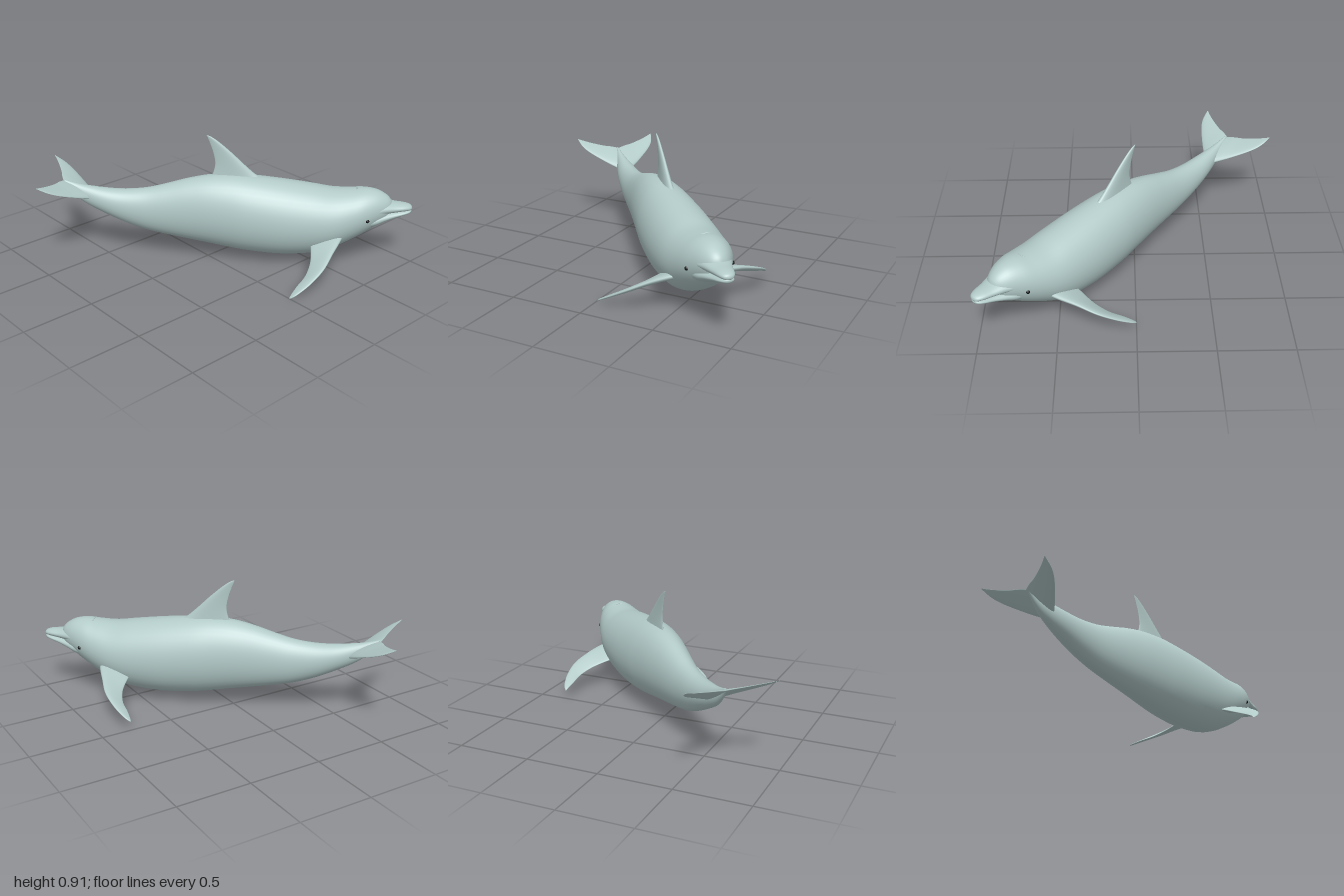
import * as THREE from 'three';

const skin = new THREE.MeshStandardMaterial({ color: 0xb2cac8 });
const dark = new THREE.MeshStandardMaterial({ color: 0x151818 });

// Smoothly resample a table of stations (each column on its own spline)
function resample(rows, steps) {
  const out = [], last = rows.length - 1;
  for (let k = 0; k <= last * steps; k++) {
    const i = Math.min(Math.floor(k / steps), last - 1), f = k / steps - i;
    const p = [rows[Math.max(i - 1, 0)], rows[i], rows[i + 1], rows[Math.min(i + 2, last)]];
    out.push(rows[0].map((_, c) => {
      const [a, b, d, e] = p.map((r) => r[c]);
      return b + 0.5 * f * (d - a + f * (2 * a - 5 * b + 4 * d - e + f * (3 * (b - d) + e - a)));
    }));
  }
  return out;
}

// Skin closed rings of points into a capped solid facing outwards
function skinRings(rings) {
  const n = rings[0].length, pts = rings.flat(), index = [];
  for (let i = 0; i < rings.length - 1; i++) {
    for (let j = 0; j < n; j++) {
      const a = i * n + j, b = i * n + ((j + 1) % n);
      index.push(a, b, a + n, b, b + n, a + n);
    }
  }
  [0, rings.length - 1].forEach((r, end) => {
    const c = new THREE.Vector3();
    rings[r].forEach((p) => c.addScaledVector(p, 1 / n));
    pts.push(c);
    for (let j = 0; j < n; j++) {
      const a = r * n + j, b = r * n + ((j + 1) % n);
      if (end) index.push(a, b, pts.length - 1);
      else index.push(b, a, pts.length - 1);
    }
  });
  let volume = 0;
  const v = new THREE.Vector3();
  for (let i = 0; i < index.length; i += 3) {
    volume += v.crossVectors(pts[index[i]], pts[index[i + 1]]).dot(pts[index[i + 2]]);
  }
  if (volume < 0) index.reverse();
  const g = new THREE.BufferGeometry().setFromPoints(pts);
  g.setIndex(index);
  g.computeVertexNormals();
  return g;
}

// Rounded hull from stations [z, top, bottom, halfWidth]
function hull(rows, steps, sides = 40) {
  return skinRings(resample(rows, steps).map(([z, top, bottom, w]) =>
    Array.from({ length: sides }, (_, j) => {
      const a = (j / sides) * Math.PI * 2;
      return new THREE.Vector3(Math.cos(a) * w, (top + bottom) / 2 + Math.sin(a) * (top - bottom) / 2, z);
    })));
}

// Fin from stations [leading x,y,z, trailing x,y,z, halfThickness]
function fin(rows, normal, side = 1, sides = 28) {
  return skinRings(resample(rows, 8).map((r) => {
    const lead = new THREE.Vector3(r[0] * side, r[1], r[2]);
    const trail = new THREE.Vector3(r[3] * side, r[4], r[5]);
    return Array.from({ length: sides }, (_, j) => {
      const a = (j / sides) * Math.PI * 2, c = (1 - Math.cos(a)) / 2;
      return lead.clone().lerp(trail, c).addScaledVector(normal, Math.sin(a) * (1.25 - 0.7 * c) * r[6]);
    });
  }));
}

export function createModel() {
  const model = new THREE.Group();
  const animal = new THREE.Group();
  animal.name = 'dolphin';
  animal.rotation.y = Math.PI / 4; // the animal swims along the diagonal
  model.add(animal);
  const add = (name, geometry, material = skin) => {
    const mesh = new THREE.Mesh(geometry, material);
    mesh.name = name;
    animal.add(mesh);
    return mesh;
  };

  // Body, from tail stock to forehead
  add('body', hull([
    [-0.99, 0.56, 0.54, 0.008],
    [-0.93, 0.543, 0.465, 0.024],
    [-0.85, 0.525, 0.395, 0.045],
    [-0.71, 0.506, 0.32, 0.073],
    [-0.57, 0.5, 0.255, 0.088],
    [-0.42, 0.515, 0.203, 0.1],
    [-0.28, 0.55, 0.172, 0.117],
    [-0.14, 0.59, 0.146, 0.138],
    [0, 0.618, 0.122, 0.162],
    [0.14, 0.628, 0.096, 0.184],
    [0.28, 0.622, 0.075, 0.203],
    [0.5, 0.598, 0.06, 0.218],
    [0.71, 0.568, 0.076, 0.217],
    [0.85, 0.546, 0.118, 0.205],
    [0.97, 0.547, 0.178, 0.18],
    [1.06, 0.553, 0.23, 0.153],
    [1.14, 0.543, 0.282, 0.118],
    [1.2, 0.515, 0.325, 0.084],
    [1.235, 0.485, 0.36, 0.052],
    [1.25, 0.455, 0.39, 0.02],
  ], 5)).position.x = -0.01;

  // Beak: two jaws meeting in the mouth crease
  add('upperJaw', hull([
    [1.06, 0.45, 0.365, 0.13],
    [1.14, 0.468, 0.372, 0.115],
    [1.2, 0.468, 0.38, 0.092],
    [1.27, 0.456, 0.389, 0.069],
    [1.33, 0.45, 0.397, 0.055],
    [1.365, 0.443, 0.401, 0.041],
    [1.382, 0.434, 0.405, 0.025],
    [1.388, 0.422, 0.414, 0.006],
  ], 5)).position.x = -0.01;
  add('lowerJaw', hull([
    [1.06, 0.4, 0.27, 0.125],
    [1.14, 0.4, 0.295, 0.112],
    [1.2, 0.4, 0.322, 0.09],
    [1.27, 0.402, 0.348, 0.066],
    [1.33, 0.406, 0.368, 0.052],
    [1.365, 0.409, 0.379, 0.038],
    [1.38, 0.409, 0.386, 0.022],
    [1.385, 0.402, 0.395, 0.006],
  ], 5)).position.x = -0.01;

  // Dorsal fin
  add('dorsalFin', fin([
    [0, 0.57, 0.42, 0, 0.57, 0.0, 0.036],
    [0, 0.625, 0.33, 0, 0.625, 0.03, 0.028],
    [0, 0.7, 0.245, 0, 0.7, 0.047, 0.021],
    [0, 0.775, 0.168, 0, 0.775, 0.036, 0.015],
    [0, 0.85, 0.083, 0, 0.85, 0.012, 0.01],
    [0, 0.89, 0.028, 0, 0.89, -0.004, 0.006],
    [0, 0.905, -0.006, 0, 0.905, -0.01, 0.001],
  ], new THREE.Vector3(1, 0, 0)));

  const up = new THREE.Vector3(0, 1, 0);
  const flipper = [
    [0.1, 0.27, 0.94, 0.12, 0.215, 0.7, 0.03],
    [0.2, 0.255, 0.905, 0.2, 0.2, 0.705, 0.026],
    [0.31, 0.23, 0.85, 0.32, 0.165, 0.7, 0.02],
    [0.43, 0.187, 0.785, 0.42, 0.13, 0.665, 0.015],
    [0.515, 0.135, 0.696, 0.49, 0.1, 0.61, 0.01],
    [0.562, 0.088, 0.61, 0.545, 0.075, 0.572, 0.006],
    [0.566, 0.063, 0.566, 0.563, 0.062, 0.562, 0.001],
  ];
  // Fluke blades rise towards the back
  const rise = (z) => 0.44 + 0.55 * (-0.8 - z);
  const fluke = [
    [-0.01, -0.75, -0.01, -0.995, 0.026],
    [0.06, -0.81, 0.05, -1.018, 0.021],
    [0.135, -0.875, 0.11, -1.034, 0.014],
    [0.23, -0.97, 0.19, -1.065, 0.009],
    [0.278, -1.04, 0.25, -1.093, 0.006],
    [0.297, -1.115, 0.293, -1.117, 0.001],
  ].map(([lx, lz, tx, tz, h]) => [lx, rise(lz), lz, tx, rise(tz), tz, h]);

  for (const [label, side, droop] of [['left', 1, 0], ['right', -1, 0.15]]) {
    // The right flipper hangs a little lower
    const lower = (x, y) => y - droop * Math.max(x - 0.15, 0);
    add(label + 'Flipper', fin(flipper.map(([a, b, c, d, e, f, h]) =>
      [a, lower(a, b), c, d, lower(d, e), f, h]), up, side));
    add(label + 'Fluke', fin(fluke, up, side));
    const eye = add(label + 'Eye', new THREE.SphereGeometry(0.013, 16, 12), dark);
    eye.position.set(side * 0.142 - 0.01, 0.373, 1.077);
  }

  // Blowhole, a crosswise slit on top of the head
  const slit = new THREE.QuadraticBezierCurve3(
    new THREE.Vector3(-0.035, 0.545, 1.005),
    new THREE.Vector3(0, 0.556, 1.015),
    new THREE.Vector3(0.03, 0.545, 1.005));
  add('blowhole', new THREE.TubeGeometry(slit, 12, 0.004, 8), skin);

  return model;
}
